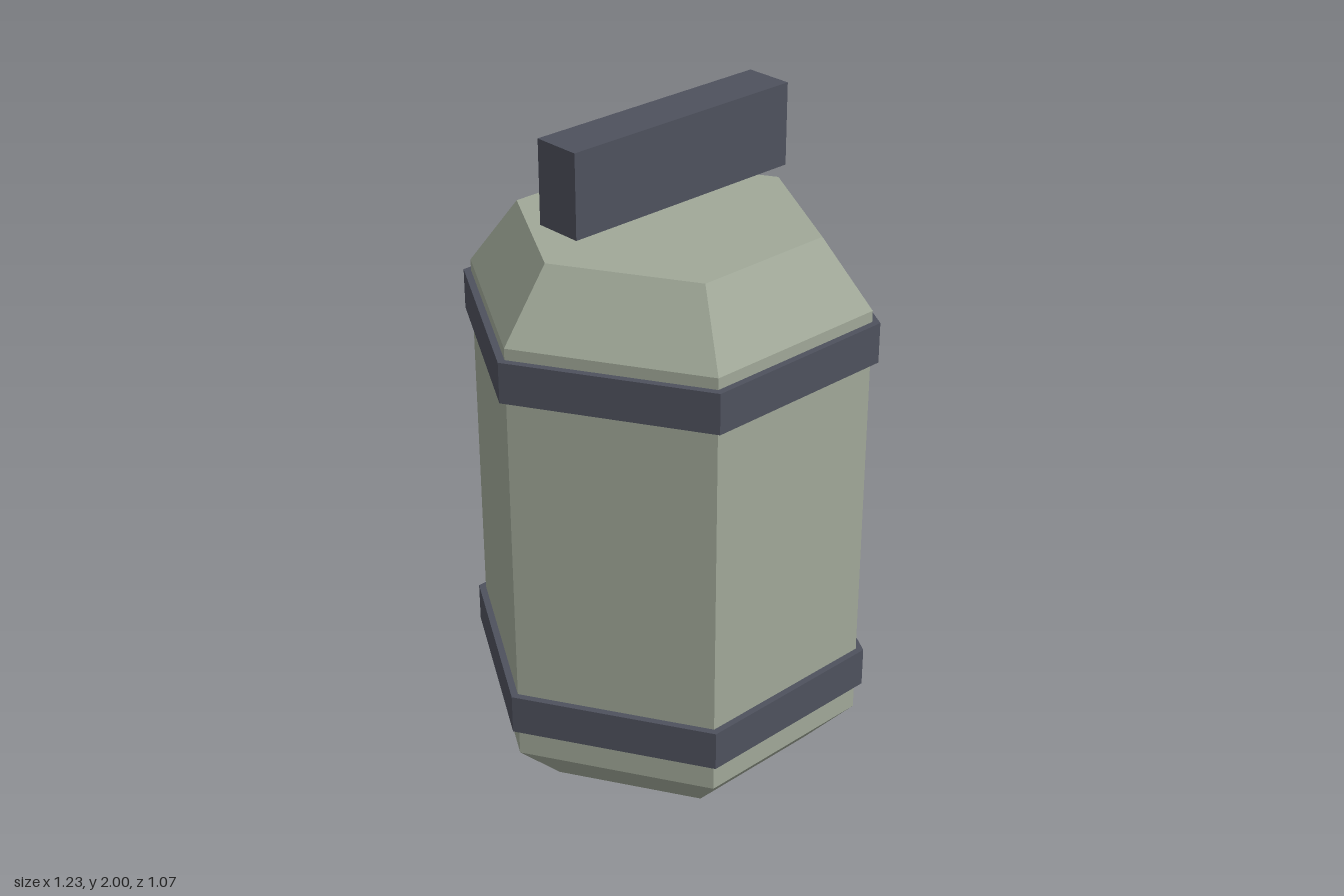
import * as THREE from 'three';

const SIDES = 6;

export function createModel() {
  const group = new THREE.Group();
  const shell = new THREE.MeshStandardMaterial({ color: 0xa0a898, flatShading: true });
  shell.name = 'sage grey';
  const dark = new THREE.MeshStandardMaterial({ color: 0x4e515d, flatShading: true });
  dark.name = 'dark slate';

  const add = (name, geometry, material, y = 0) => {
    const mesh = new THREE.Mesh(geometry, material);
    mesh.name = name;
    mesh.position.y = y;
    group.add(mesh);
  };

  // Hexagonal canister with bevelled ends, corners on the x axis
  const profile = [[0, 0], [0.443, 0], [0.592, 0.15], [0.592, 1.48], [0.443, 1.682], [0, 1.682]]
    .map(([r, y]) => new THREE.Vector2(r, y));
  add('body', new THREE.LatheGeometry(profile, SIDES, Math.PI / 2), shell);

  // Two straps around the body
  for (const [name, y] of [['lowerBand', 0.299], ['upperBand', 1.385]]) {
    add(name, new THREE.CylinderGeometry(0.615, 0.615, 0.122, SIDES, 1, false, Math.PI / 2), dark, y);
  }

  // Carrying bar floating above the lid
  add('handle', new THREE.BoxGeometry(0.788, 0.245, 0.147), dark, 1.8775);

  return group;
}
